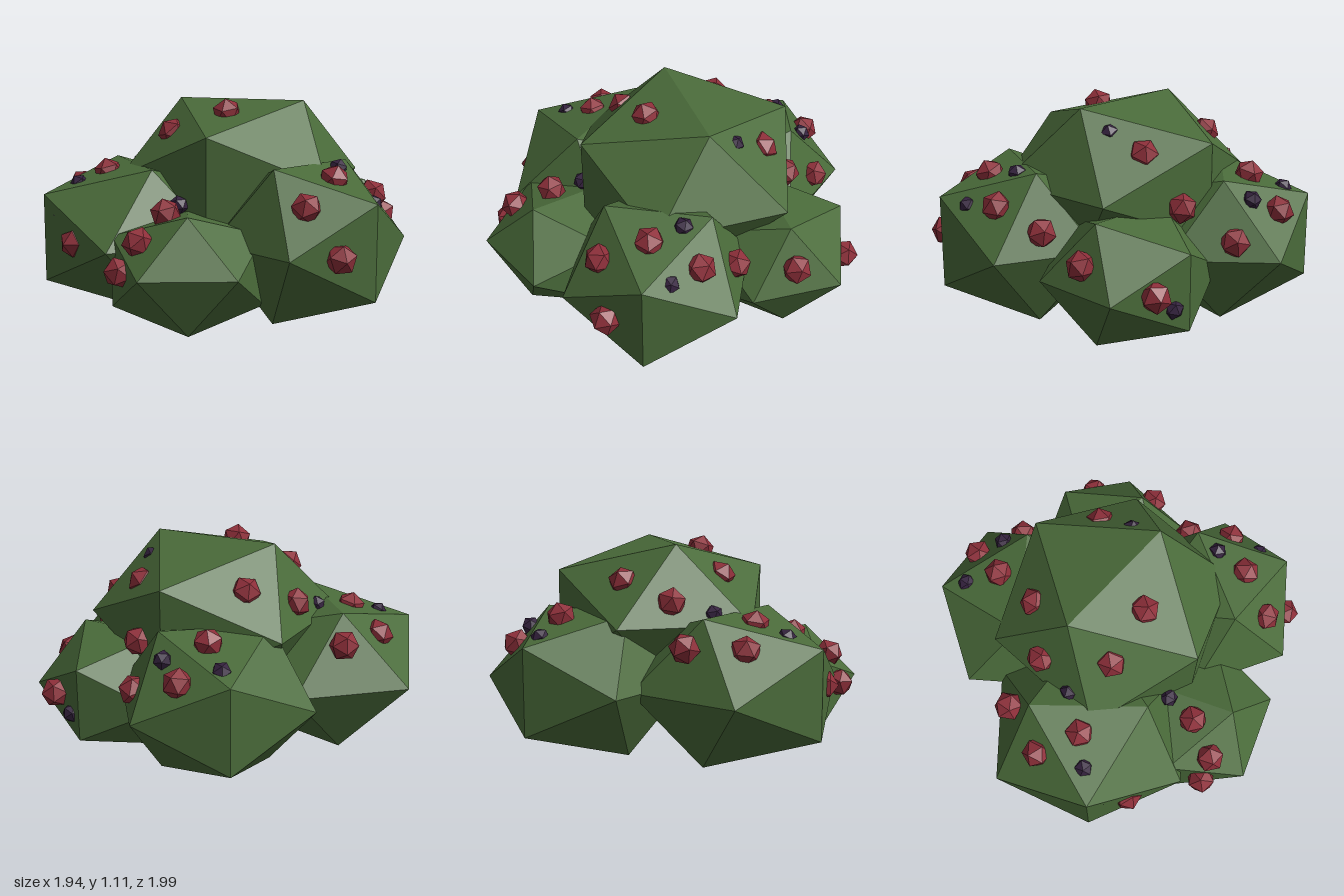
import * as THREE from 'three';

export function createModel() {
  const model = new THREE.Group();
  model.name = 'berryBush';

  const material = (name, color) => {
    const m = new THREE.MeshStandardMaterial({ color });
    m.name = name;
    return m;
  };
  const leafGreen = material('leafGreen', 0x4a6b3a);
  const berryRed = material('berryRed', 0x8e2f3a);
  const berryPurple = material('berryPurple', 0x35223f);

  // Faceted leaf clumps: name, centre, radius, height radius, turn, tilt
  const clumps = [
    ['topClump', [0.08, 0.707, -0.07], 0.65, 0.46, 0, 0],
    ['frontClump', [0.015, 0.305, 0.565], 0.437, 0.33, 1.93, -0.1],
    ['rightClump', [-0.424, 0.405, 0.207], 0.57, 0.43, -0.85, 0],
    ['leftClump', [0.54, 0.425, 0.23], 0.5, 0.45, 1.08, 0],
    ['backRightClump', [-0.16, 0.41, -0.51], 0.523, 0.42, 0.665, 0],
    ['backLeftClump', [0.45, 0.34, -0.42], 0.447, 0.36, -0.04, 0],
  ].map(([name, centre, radius, height, turn, tilt]) => {
    // Icosahedron faces are flat by default
    const mesh = new THREE.Mesh(new THREE.IcosahedronGeometry(1, 0), leafGreen);
    mesh.name = name;
    mesh.position.set(...centre);
    mesh.scale.set(radius, height, radius);
    mesh.rotation.set(0, turn, tilt, 'YXZ');
    model.add(mesh);
    return { centre: mesh.position, radius, height };
  });

  // A berry with one corner pointing up, so it can be aimed outward
  const berryGeometry = new THREE.IcosahedronGeometry(1, 0);
  berryGeometry.rotateX(-Math.atan((1 + Math.sqrt(5)) / 2));
  const up = new THREE.Vector3(0, 1, 0);

  // Outward direction on the clump whose surface is closest to the point
  const outward = (p) => {
    let best = Infinity;
    const normal = new THREE.Vector3();
    for (const { centre, radius, height } of clumps) {
      const d = p.clone().sub(centre);
      const gap = Math.abs(Math.hypot(d.x / radius, d.y / height, d.z / radius) - 0.9);
      if (gap < best) {
        best = gap;
        normal.set(d.x / radius ** 2, d.y / height ** 2, d.z / radius ** 2).normalize();
      }
    }
    return normal;
  };

  const addBerries = (name, points, size, mat) => {
    const group = new THREE.Group();
    group.name = name;
    points.forEach((point, i) => {
      const berry = new THREE.Mesh(berryGeometry, mat);
      berry.name = `${name}${i + 1}`;
      berry.position.set(...point);
      const normal = outward(berry.position);
      berry.quaternion.setFromUnitVectors(up, normal);
      berry.position.addScaledVector(normal, -0.01);
      berry.scale.setScalar(size);
      group.add(berry);
    });
    model.add(group);
  };

  addBerries('redBerry', [
    // on the top clump
    [-0.24, 0.92, -0.34], [0.33, 0.91, -0.4], [0.07, 1.05, 0.14],
    [-0.42, 0.83, -0.13], [-0.22, 0.94, 0.18],
    // front
    [-0.08, 0.6, 0.62], [-0.15, 0.49, 0.81], [-0.24, 0.34, 0.84],
    // right
    [-0.68, 0.65, -0.13], [-0.76, 0.64, 0.15], [-0.55, 0.73, 0.26], [-0.58, 0.41, 0.62],
    // left
    [0.68, 0.76, 0.32], [0.74, 0.55, -0.11], [0.83, 0.66, 0.11],
    [0.6, 0.65, 0.55], [0.78, 0.42, 0.58],
    // back
    [-0.16, 0.61, -0.87], [-0.2, 0.75, -0.65], [0.13, 0.5, -0.81],
    [0.25, 0.65, -0.58], [0.79, 0.47, -0.41], [0.65, 0.36, -0.75],
  ], 0.078, berryRed);

  addBerries('purpleBerry', [
    [0.38, 1.0, -0.22], [-0.43, 0.77, 0.08], [-0.32, 0.79, 0.22],
    [-0.08, 0.6, 0.46], [-0.66, 0.68, 0.39], [-0.69, 0.52, 0.54],
    [0.66, 0.79, 0.14], [0.87, 0.64, 0.28],
    [-0.34, 0.67, -0.77], [-0.03, 0.68, -0.79], [0.54, 0.27, -0.77],
  ], 0.05, berryPurple);

  return model;
}
